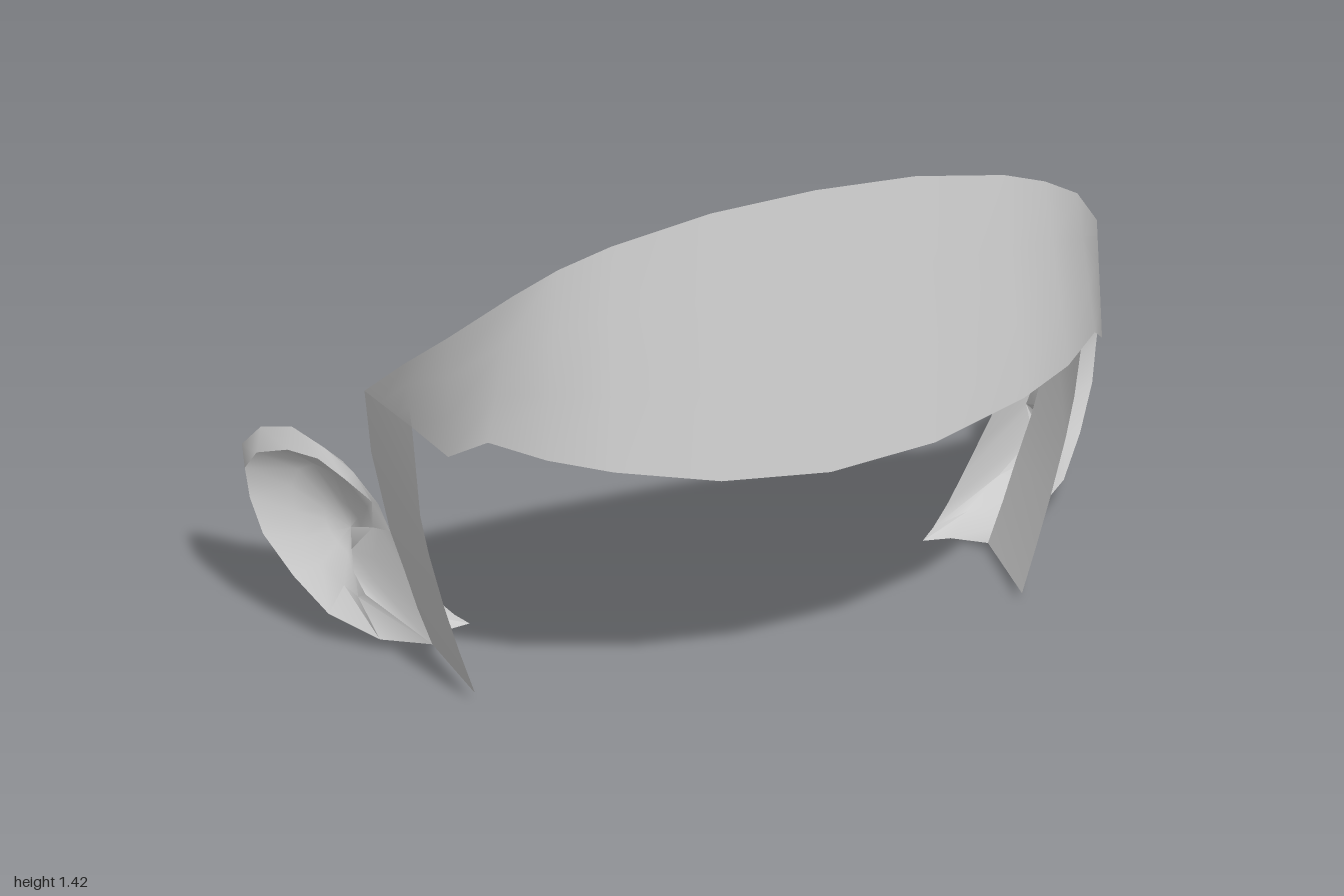
import * as THREE from 'three';
import { toCreasedNormals } from 'three/addons/utils/BufferGeometryUtils.js';

const material = new THREE.MeshStandardMaterial({ color: 0xcccccc, side: THREE.DoubleSide });
const mirrorX = ([x, y, z]) => [-x, y, z];
const lerp = (a, b, t) => a.map((v, i) => v + (b[i] - v) * t);

// Surface through rows of points of equal length
function loft(rows) {
  const n = rows[0].length, index = [];
  for (let r = 0; r < rows.length - 1; r++) {
    for (let c = 0; c < n - 1; c++) {
      const a = r * n + c, b = a + 1, d = a + n, e = d + 1;
      index.push(a, d, b, b, d, e);
    }
  }
  const g = new THREE.BufferGeometry();
  g.setAttribute('position', new THREE.Float32BufferAttribute(rows.flat(2), 3));
  g.setIndex(index);
  g.computeVertexNormals();
  return g;
}

function part(name, geometry) {
  const mesh = new THREE.Mesh(geometry, material);
  mesh.name = name;
  return mesh;
}

// Forehead edges, from the middle to the temple
const bandTop = [
  [0, 1.42, 0.44], [0.24, 1.4, 0.425], [0.46, 1.34, 0.39], [0.57, 1.28, 0.35],
  [0.66, 1.21, 0.31], [0.76, 1.04, 0.16], [0.805, 0.895, 0], [0.825, 0.725, -0.195],
];
const bandBottom = [
  [0, 0.757, 0.54], [0.25, 0.775, 0.525], [0.48, 0.81, 0.465], [0.61, 0.825, 0.39],
  [0.71, 0.833, 0.285], [0.765, 0.75, 0.18], [0.79, 0.74, 0.015], [0.79, 0.74, 0.015],
];

// Cheek strip edges, from the temple down to the jaw
const stripFront = [[0.79, 0.74, 0.015], [0.765, 0.5, 0], [0.745, 0.4, 0], [0.71, 0.26, 0], [0.675, 0.14, 0.003], [0.64, 0.03, 0.008]];
const stripBack = [[0.825, 0.725, -0.195], [0.8, 0.55, -0.22], [0.75, 0.33, -0.235], [0.715, 0.22, -0.238], [0.685, 0.12, -0.24], [0.65, 0.02, -0.24]];

// Ear rows, each running from the top front over the rim down to the lobe
const earBack = [
  [0.75, 0.33, -0.235], [0.775, 0.4, -0.245], [0.82, 0.47, -0.28], [0.82, 0.46, -0.35], [0.8, 0.42, -0.42],
  [0.79, 0.37, -0.43], [0.76, 0.3, -0.43], [0.72, 0.23, -0.415], [0.68, 0.17, -0.4], [0.64, 0.11, -0.385],
  [0.6, 0.06, -0.365], [0.56, 0.02, -0.345], [0.53, 0, -0.33],
];
const earOuter = [
  [0.75, 0.33, -0.235], [0.775, 0.4, -0.245], [0.82, 0.47, -0.28], [0.87, 0.515, -0.33], [0.92, 0.54, -0.4],
  [0.965, 0.505, -0.48], [0.985, 0.43, -0.545], [0.975, 0.35, -0.54], [0.95, 0.26, -0.53], [0.87, 0.15, -0.48],
  [0.74, 0.075, -0.42], [0.65, 0.03, -0.37], [0.59, 0.003, -0.315],
];
const earRim = [
  [0.75, 0.33, -0.235], [0.785, 0.4, -0.258], [0.84, 0.455, -0.285], [0.885, 0.49, -0.33], [0.935, 0.49, -0.39],
  [0.985, 0.46, -0.45], [1, 0.405, -0.485], [0.99, 0.33, -0.48], [0.97, 0.25, -0.45], [0.92, 0.165, -0.39],
  [0.86, 0.09, -0.33], [0.76, 0.035, -0.275], [0.65, 0.02, -0.24],
];
const earBowl = [
  [0.78, 0.33, -0.265], [0.785, 0.37, -0.29], [0.81, 0.41, -0.32], [0.84, 0.43, -0.36], [0.87, 0.435, -0.4],
  [0.895, 0.41, -0.43], [0.905, 0.36, -0.445], [0.9, 0.3, -0.44], [0.885, 0.24, -0.42], [0.855, 0.19, -0.385],
  [0.82, 0.15, -0.34], [0.8, 0.135, -0.305], [0.79, 0.15, -0.285],
];
const bowlFloor = [0.79, 0.27, -0.38];
// Small flap in front of the ear hole
const flapEdge = [[0.78, 0.33, -0.265], [0.815, 0.26, -0.305], [0.81, 0.2, -0.305], [0.79, 0.15, -0.285]];

function side(name, mirror) {
  const group = new THREE.Group();
  group.name = name;
  const put = (rows) => loft(mirror ? rows.map((r) => r.map(mirrorX)) : rows);
  group.add(part('cheekStrip', put([stripFront, stripBack])));
  const bowlMiddle = earBowl.map((p) => lerp(p, bowlFloor, 0.55));
  const bowlCentre = earBowl.map(() => bowlFloor);
  group.add(part('ear', toCreasedNormals(put([earBack, earOuter, earRim, earBowl, bowlMiddle, bowlCentre]), 0.9)));
  const crest = flapEdge.map((p, i) => lerp(stripBack[i + 2], p, 0.6));
  group.add(part('earFlap', put([stripBack.slice(2), crest, flapEdge])));
  group.add(part('earFlapInside', put([flapEdge, flapEdge.map(() => bowlFloor)])));
  return group;
}

export function createModel() {
  const model = new THREE.Group();
  model.name = 'headbandWithEars';

  // Forehead band, mirrored into one continuous strip
  const whole = (edge) => [...edge.slice(1).reverse().map(mirrorX), ...edge];
  const top = whole(bandTop), bottom = whole(bandBottom);
  const rows = [0, 0.33, 0.67, 1].map((t) => top.map((p, i) => lerp(p, bottom[i], t)));
  model.add(part('foreheadBand', loft(rows)));

  model.add(side('leftSide', false), side('rightSide', true));
  return model;
}
